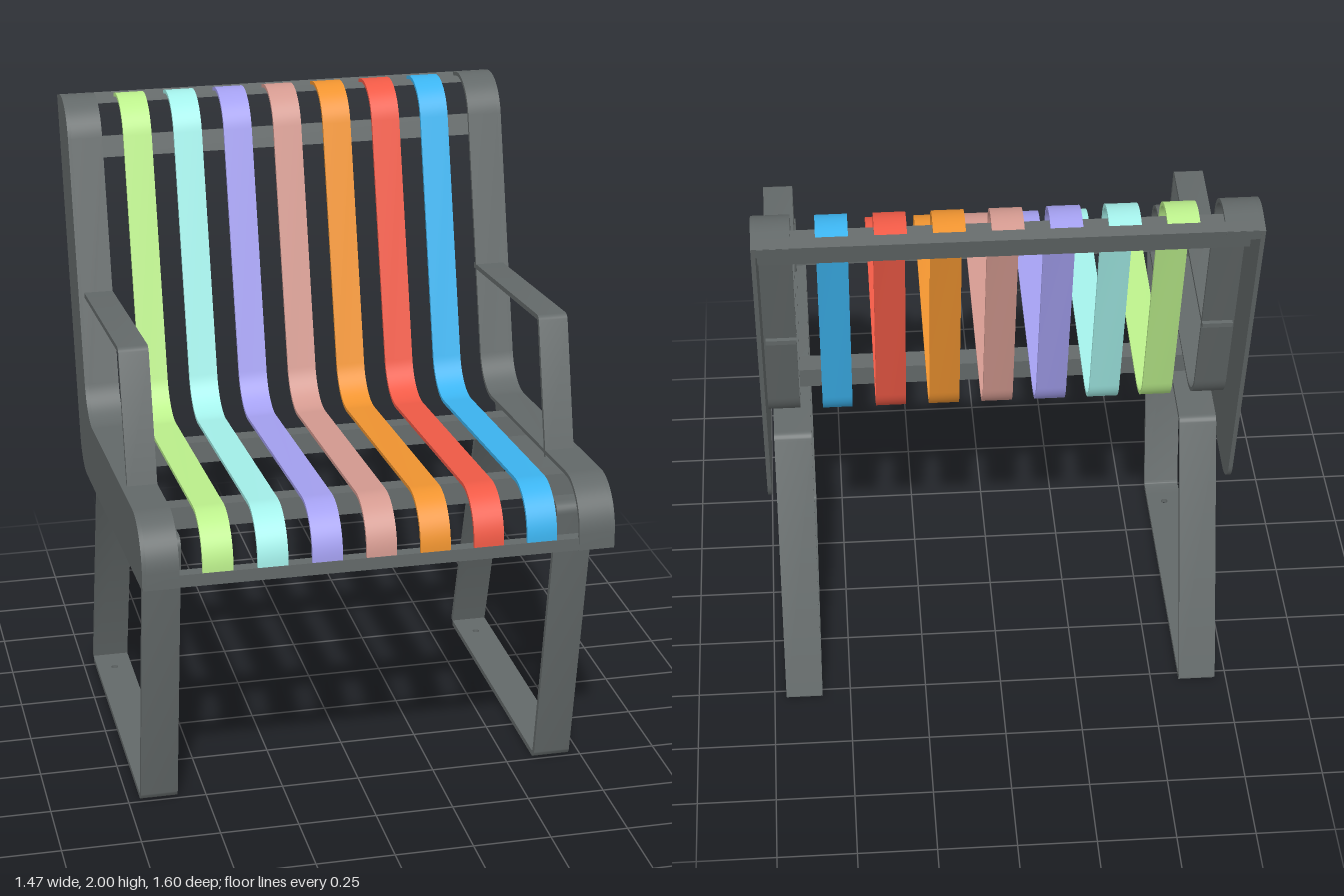
import * as THREE from 'three';
import { toCreasedNormals } from 'three/addons/utils/BufferGeometryUtils.js';

const steel = new THREE.MeshStandardMaterial({ color: 0x636969 });

// Round the corners [z, y, radius] of a polyline into arcs
function fillet(corners) {
  const out = [];
  corners.forEach(([z, y, r], i) => {
    const p = new THREE.Vector2(z, y);
    if (!r) { out.push(p); return; }
    const a = new THREE.Vector2(...corners[i - 1]).sub(p).normalize();
    const b = new THREE.Vector2(...corners[(i + 1) % corners.length]).sub(p).normalize();
    const half = Math.acos(a.dot(b)) / 2;
    const start = p.clone().addScaledVector(a, r / Math.tan(half));
    const centre = p.clone().addScaledVector(a.clone().add(b).normalize(), r / Math.sin(half));
    const spoke = start.sub(centre);
    const turn = Math.sign(b.x * a.y - b.y * a.x) * (Math.PI - 2 * half);
    const steps = r > 0.1 ? 14 : 6;
    for (let k = 0; k <= steps; k++) {
      out.push(spoke.clone().rotateAround(new THREE.Vector2(), turn * k / steps).add(centre));
    }
  });
  return out;
}

// Shift a polyline sideways (positive = left of travel) with mitred corners
function offset(pts, d) {
  const dir = (i) => pts[i + 1].clone().sub(pts[i]).normalize();
  return pts.map((p, i) => {
    const a = dir(Math.max(i - 1, 0)), b = dir(Math.min(i, pts.length - 2));
    const t = a.clone().add(b).normalize();
    return new THREE.Vector2(-t.y, t.x).multiplyScalar(d / t.dot(b)).add(p);
  });
}

// Extrude a (z, y) outline across x, from x0 to x1
function across(pts, x0, x1) {
  const geo = new THREE.ExtrudeGeometry(new THREE.Shape(pts), { depth: x1 - x0, bevelEnabled: false });
  geo.rotateY(-Math.PI / 2).translate(x1, 0, 0);
  return toCreasedNormals(geo, 0.5);
}

// Flat bar following a path, between two sideways offsets
const ribbon = (pts, d0, d1, x0, x1) =>
  across([...offset(pts, d0), ...offset(pts, d1).reverse()], x0, x1);

export function createModel() {
  const model = new THREE.Group();
  const add = (name, geo, parent = model, material = steel) => {
    const mesh = new THREE.Mesh(geo, material);
    mesh.name = name;
    parent.add(mesh);
    return mesh;
  };

  // Seating line: front edge, seat, bend, backrest, top roll
  const seatLine = (first, last) =>
    [first, [0.803, 1.092, 0.147], [-0.312, 1.001, 0.14], [-0.597, 2.031, 0.147], last];
  const edge = seatLine([0.803, 0.88], [-0.8, 1.975]);
  const edgePts = fillet(edge);
  const plate = fillet([...edge, [-0.473, 0.772, 0.125]]);

  for (const side of [1, -1]) {
    const name = side > 0 ? 'left' : 'right';
    const span = (a, b) => (side > 0 ? [a, b] : [-b, -a]);
    const frame = new THREE.Group();
    frame.name = name + 'SideFrame';
    model.add(frame);

    // Side plate with an inward flange along its upper edge
    add(name + 'SidePlate', across(plate, ...span(0.722, 0.735)), frame);
    add(name + 'Flange', ribbon(edgePts, 0, 0.013, ...span(0.622, 0.724)), frame);

    // Armrest of bent flat bar
    const arm = fillet([[0.43, 1.04], [0.312, 1.474, 0.025], [-0.45, 1.4]]);
    add(name + 'Armrest', ribbon(arm, 0, 0.016, ...span(0.622, 0.716)), frame);

    // Leg loop of bent flat bar, running under the seat rails
    const leg = fillet([[-0.548, 0.02], [-0.278, 0.9, 0.03], [0.668, 0.98, 0.03], [0.497, 0, 0.03], [0.42, 0]]);
    add(name + 'LegLoop', ribbon(leg, -0.018, 0, ...span(0.592, 0.711)), frame);

    // Foot bar with fixing holes
    const [x0, x1] = span(0.592, 0.711);
    const foot = new THREE.Shape([[x0, -0.42], [x1, -0.42], [x1, 0.53], [x0, 0.53]].map((p) => new THREE.Vector2(...p)));
    for (const z of [-0.38, 0.43]) foot.holes.push(new THREE.Path().absarc((x0 + x1) / 2, z, 0.012, 0, Math.PI * 2, true));
    const footGeo = new THREE.ExtrudeGeometry(foot, { depth: 0.018, bevelEnabled: false, curveSegments: 8 });
    add(name + 'FootBar', footGeo.rotateX(-Math.PI / 2), frame);
  }

  // Cross rails: name, z, y, thickness, length, tilt
  const rails = [
    ['frontRail', 0.585, 1.023, 0.07, 1.444, -0.082],
    ['middleRail', -0.035, 0.973, 0.07, 1.444, -0.082],
    ['backRail', -0.6, 1.845, 0.07, 1.444, -0.269],
    ['frontEdgeBar', 0.78, 0.9, 0.04, 1.466, 0],
    ['topEdgeBar', -0.776, 1.963, 0.038, 1.466, -0.269],
  ];
  for (const [name, z, y, t, length, tilt] of rails) {
    const rail = add(name, new THREE.BoxGeometry(length, t, t));
    rail.position.set(0, y, z);
    rail.rotation.x = tilt;
  }

  // Coloured straps, from the model's right to its left
  const colors = [0xbcf08c, 0xa4f0ea, 0xa4a0f0, 0xd49a90, 0xf09430, 0xf05a46, 0x3cb4f0];
  const strapPts = fillet(seatLine([0.803, 0.915], [-0.765, 1.9845]));
  colors.forEach((color, i) => {
    const x = (i - 3) * 0.168;
    const material = new THREE.MeshStandardMaterial({ color });
    add('strap' + (i + 1), ribbon(strapPts, 0.004, 0.016, x - 0.047, x + 0.047), model, material);
  });

  return model;
}
